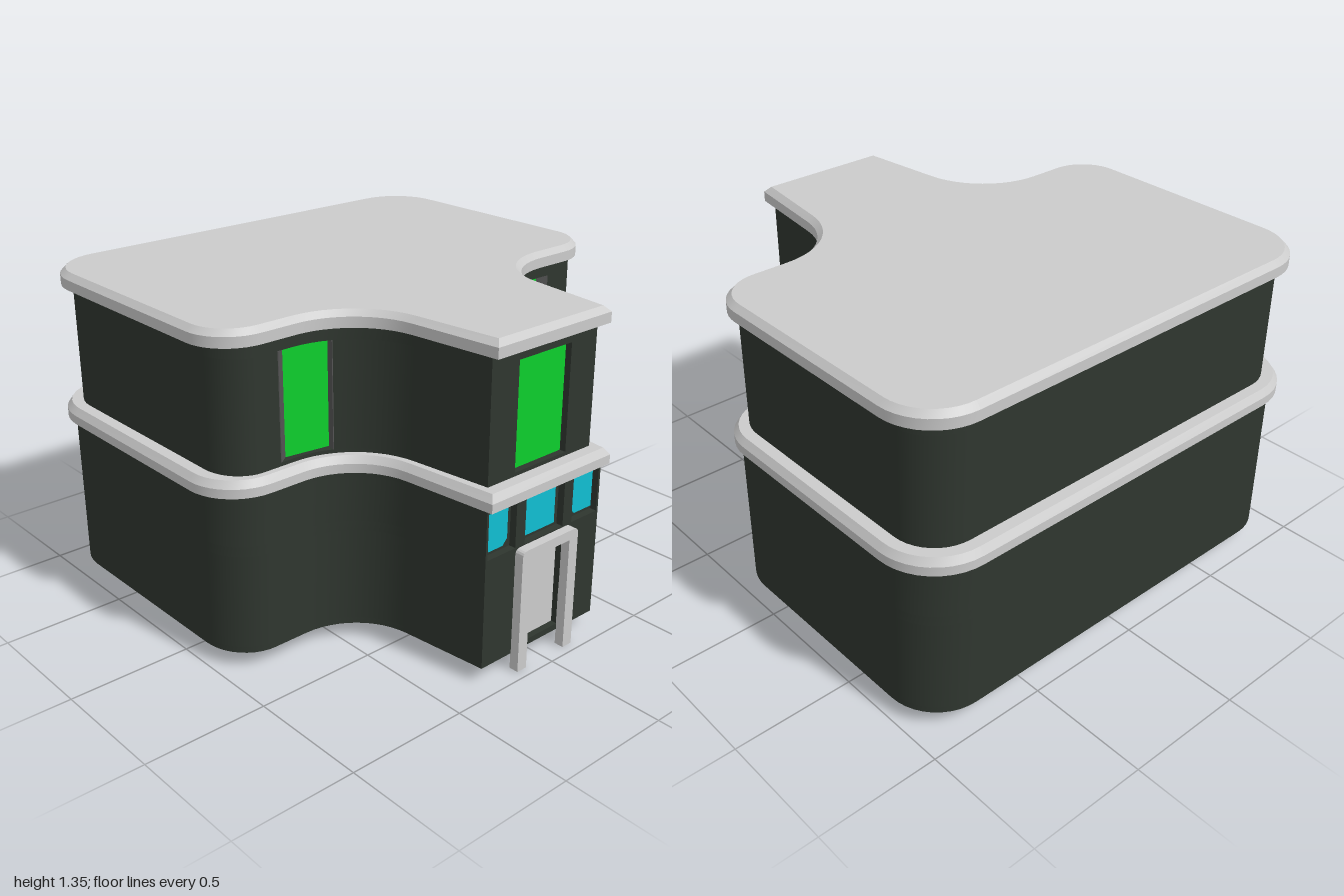
import * as THREE from 'three';
import { toCreasedNormals } from 'three/addons/utils/BufferGeometryUtils.js';

const mat = (name, color) => new THREE.MeshStandardMaterial({ name, color });

// T-shaped floor plan in (x, z). o insets the outer walls, c the waist;
// notches are [z0, z1] recesses in the entrance face, side adds the waist window recesses.
const REVEAL = [[0.302, 0.49], [0.262, 0.48], [0.235, 0.67], [0.265, 0.71]];
const RECESS = 0.03;

function outline(o, c, notches = [], side = false) {
  const face = 0.955 - o, half = [[face, 0.32 - c]];
  const arc = (cx, cz, rx, rz, a0, a1, n) => {
    for (let i = 0; i <= n; i++) {
      const a = THREE.MathUtils.degToRad(a0 + (a1 - a0) * i / n);
      half.push([cx + rx * Math.cos(a), cz + rz * Math.sin(a)]);
    }
  };
  arc(0.59, 0.64, 0.28 + c, 0.28 + c, -96.2, -180, 12);
  if (side) {
    while (half[half.length - 1][1] > 0.485) half.pop();
    half.push(...REVEAL);
  }
  arc(0.1, 0.79, 0.21 - c, 0.21 - o, 0, 90, 10);
  arc(-0.72, 0.75, 0.25 - o, 0.25 - o, 90, 180, 10);
  const pts = [...half, ...half.slice().reverse().map(([x, z]) => [x, -z])];
  for (const [a, b] of notches) {
    pts.push([face, a], [face - RECESS, a], [face - RECESS, b], [face, b]);
  }
  return pts.map(([x, z]) => new THREE.Vector2(x, z));
}

// Closed solid through rings of [y, outer inset, waist inset]
function loft(rings, notches, side) {
  const loops = rings.map(([, o, c]) => outline(o, c, notches, side));
  const n = loops[0].length, pos = [], idx = [];
  loops.forEach((l, k) => l.forEach(p => pos.push(p.x, rings[k][0], p.y)));
  for (let k = 0; k < loops.length - 1; k++) {
    for (let i = 0; i < n; i++) {
      const a = k * n + i, b = k * n + (i + 1) % n;
      idx.push(a, a + n, b, b, a + n, b + n);
    }
  }
  const top = (loops.length - 1) * n;
  for (const [a, b, c] of THREE.ShapeUtils.triangulateShape(loops[0], [])) idx.push(a, b, c);
  for (const [a, b, c] of THREE.ShapeUtils.triangulateShape(loops[loops.length - 1], [])) {
    idx.push(top + a, top + c, top + b);
  }
  const g = new THREE.BufferGeometry();
  g.setAttribute('position', new THREE.Float32BufferAttribute(pos, 3));
  g.setIndex(idx);
  return toCreasedNormals(g, 0.45);
}

export function createModel() {
  const model = new THREE.Group();
  model.name = 'building';
  const wall = mat('darkWall', 0x2f362f);
  const trim = mat('lightGrey', 0xcbcbcb);
  const reveal = mat('revealGrey', 0x555555);
  const green = mat('greenGlass', 0x0dcf2d);
  const cyan = mat('cyanGlass', 0x10bfd2);

  const add = (name, geometry, material) => {
    const m = new THREE.Mesh(geometry, material);
    m.name = name;
    model.add(m);
    return m;
  };

  // Thin upright plate between two plan points
  const panel = (name, [x0, z0], [x1, z1], y0, y1, material) => {
    const m = add(name, new THREE.BoxGeometry(Math.hypot(x1 - x0, z1 - z0), y1 - y0, 0.006), material);
    m.position.set((x0 + x1) / 2, (y0 + y1) / 2, (z0 + z1) / 2);
    m.rotation.y = -Math.atan2(z1 - z0, x1 - x0);
  };

  // Flat shape in (z, y) pushed out along +x
  const facing = (name, shape, x, depth, material) => {
    const g = new THREE.ExtrudeGeometry(shape, { depth, bevelEnabled: false, curveSegments: 4 });
    g.rotateY(Math.PI / 2);
    add(name, g, material).position.x = x;
  };
  const polygon = pts => new THREE.Shape(pts.map(([z, y]) => new THREE.Vector2(-z, y)));

  // Storeys, stacked in layers so that openings are true recesses
  const layers = (name, o, c, list) => list.forEach(([y0, y1, notches, side]) =>
    add(name, loft([[y0, o, c], [y1, o, c]], notches, side), wall));
  layers('lowerWall', 0.032, 0.01, [
    [0.065, 0.09],
    [0.09, 0.475, [[-0.105, 0.105]]],
    [0.475, 0.515],
    [0.515, 0.7, [[-0.3, -0.155], [-0.105, 0.105], [0.155, 0.3]]],
    [0.7, 0.73],
  ]);
  layers('upperWall', 0.067, 0.045, [
    [0.77, 0.8],
    [0.8, 1.23, [[-0.137, 0.137]], true],
    [1.23, 1.29],
  ]);

  // Floor plate, ledge and roof with chamfered upper edges
  add('floor', loft([[0.062, 0.07, 0.045], [0.07, 0.07, 0.045]]), trim);
  add('ledge', loft([[0.72, 0, 0], [0.757, 0, 0], [0.785, 0.02, 0.02]]), trim);
  add('roof', loft([[1.28, 0.022, 0.025], [1.322, 0.022, 0.025], [1.345, 0.045, 0.048]]), trim);

  // Upper windows: one over the entrance, one in each curved waist
  const upperX = 0.955 - 0.067 - RECESS;
  panel('upperFrontWindow', [upperX, -0.137], [upperX, 0.137], 0.8, 1.23, green);
  for (const s of [1, -1]) {
    const [a, b, c, d] = REVEAL.map(([x, z]) => [x, z * s]);
    panel('waistWindow', b, c, 0.8, 1.23, green);
    panel('windowReveal', a, b, 0.8, 1.23, reveal);
    panel('windowReveal', c, d, 0.8, 1.23, reveal);
  }

  // Small windows above the door, the outer two with a clipped corner
  const lowerX = 0.955 - 0.032 - RECESS;
  facing('middleWindow', polygon([[-0.082, 0.53], [0.082, 0.53], [0.082, 0.69], [-0.082, 0.69]]), lowerX, 0.006, cyan);
  for (const s of [1, -1]) {
    facing('outerWindow', polygon([[0.175, 0.555], [0.198, 0.53], [0.295, 0.53], [0.295, 0.69], [0.175, 0.69]]
      .map(([z, y]) => [z * s, y])), lowerX, 0.006, cyan);
  }

  // Door and its portal, whose posts reach the ground
  panel('door', [lowerX, -0.105], [lowerX, 0.105], 0.09, 0.475, trim);
  const portal = new THREE.Shape();
  portal.moveTo(-0.153, 0);
  portal.lineTo(-0.105, 0);
  portal.lineTo(-0.105, 0.47);
  portal.lineTo(0.105, 0.47);
  portal.lineTo(0.105, 0);
  portal.lineTo(0.153, 0);
  portal.lineTo(0.153, 0.485);
  portal.quadraticCurveTo(0.153, 0.51, 0.128, 0.51);
  portal.lineTo(-0.128, 0.51);
  portal.quadraticCurveTo(-0.153, 0.51, -0.153, 0.485);
  facing('doorPortal', portal, 0.921, 0.04, trim);

  return model;
}
